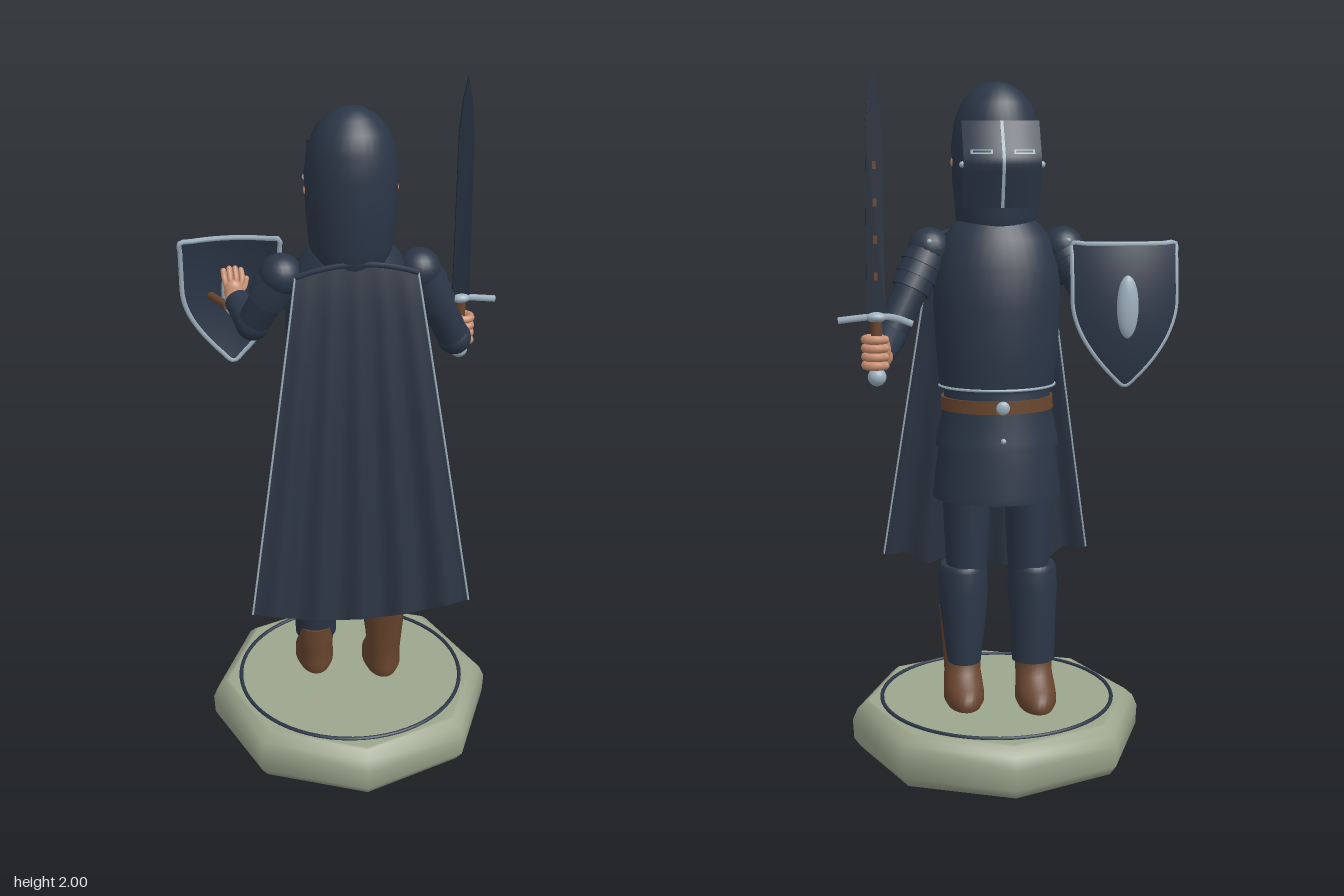
import * as THREE from 'three';

const mat = (name, color, side = THREE.FrontSide) => {
  const m = new THREE.MeshStandardMaterial({ color, side });
  m.name = name;
  return m;
};
const V = (x, y, z) => new THREE.Vector3(x, y, z);

export function createModel() {
  const model = new THREE.Group();
  const navy = mat('navy armour', 0x2b3647);
  const cloth = mat('navy cloth', 0x2b3442, THREE.DoubleSide);
  const dark = mat('dark steel', 0x222c3a);
  const brown = mat('brown leather', 0x68452e);
  const silver = mat('pale steel', 0x9db0be);
  const skin = mat('skin', 0xc78f70);
  const stone = mat('stone', 0x9ca58d);

  const add = (name, geo, m, pos, parent = model) => {
    const mesh = new THREE.Mesh(geo, m);
    mesh.name = name;
    if (pos) mesh.position.copy(pos);
    parent.add(mesh);
    return mesh;
  };

  // Elliptical rings [y, rx, rz, cz] joined upward, closed at both ends; 'cx' shifts in x.
  const loft = (name, rings, m, cx = 0, dz = 0, n = 32) => {
    const first = rings[0], last = rings[rings.length - 1];
    const all = [[first[0], 0, 0, first[3]], first, ...rings, last, [last[0], 0, 0, last[3]]];
    const p = [], idx = [];
    all.forEach(([y, rx, rz, cz = 0], j) => {
      for (let i = 0; i < n; i++) {
        const a = i / n * Math.PI * 2;
        p.push(cx + Math.sin(a) * rx, y, dz + cz + Math.cos(a) * rz);
        if (j === all.length - 1) continue;
        const a0 = j * n + i, b0 = j * n + (i + 1) % n;
        idx.push(a0, b0, b0 + n, a0, b0 + n, a0 + n);
      }
    });
    const g = new THREE.BufferGeometry();
    g.setAttribute('position', new THREE.Float32BufferAttribute(p, 3));
    g.setIndex(idx);
    g.computeVertexNormals();
    return add(name, g, m);
  };
  const ball = (name, c, r, m, sx = 1, sy = 1, sz = 1) => {
    const b = add(name, new THREE.SphereGeometry(r, 20, 14), m, c);
    b.scale.set(sx, sy, sz);
    return b;
  };
  const rod = (name, a, b, ra, rb, m) => {
    const d = b.clone().sub(a);
    const c = add(name, new THREE.CylinderGeometry(rb, ra, d.length(), 20), m, a.clone().lerp(b, 0.5));
    c.quaternion.setFromUnitVectors(V(0, 1, 0), d.normalize());
    return c;
  };
  const finger = (name, pts, r) => {
    add(name, new THREE.TubeGeometry(new THREE.CatmullRomCurve3(pts), 10, r, 8), skin);
    ball(name + 'Tip', pts[pts.length - 1], r, skin);
  };
  const tube = (name, pts, r, m, closed = false) =>
    add(name, new THREE.TubeGeometry(new THREE.CatmullRomCurve3(pts, closed), pts.length * 3, r, 6, closed), m);
  // Moves each vertex of a geometry by a rule.
  const bend = (g, rule) => {
    const p = g.attributes.position;
    for (let i = 0; i < p.count; i++) {
      const v = rule(p.getX(i), p.getY(i), p.getZ(i));
      p.setXYZ(i, v.x, v.y, v.z);
    }
    g.computeVertexNormals();
    return g;
  };

  // Eight-sided base with an inlaid ring
  const profile = [[0, 0], [0.415, 0], [0.437, 0.03], [0.44, 0.09], [0.425, 0.125], [0.4, 0.147], [0.39, 0.15], [0, 0.15]];
  add('base', new THREE.LatheGeometry(profile.map(q => new THREE.Vector2(...q)), 8), stone);
  add('baseRing', new THREE.TorusGeometry(0.35, 0.006, 8, 64), navy, V(0, 0.152, 0)).rotation.x = Math.PI / 2;

  // Legs; the right one steps slightly forward
  for (const s of [1, -1]) {
    const side = s > 0 ? 'left' : 'right', dz = s > 0 ? 0 : -0.045, top = s > 0 ? 0.43 : 0.32;
    loft(side + 'Boot', [[0.15, 0.052, 0.097, -0.048], [0.165, 0.06, 0.103, -0.048], [0.19, 0.06, 0.1, -0.045],
      [0.21, 0.058, 0.088, -0.035], [0.24, 0.055, 0.065, -0.008], [0.28, 0.056, 0.055, 0.005],
      [top, s > 0 ? 0.066 : 0.056, 0.063, s > 0 ? 0.022 : 0]], brown, s * 0.106, dz);
    loft(side + 'Greave', [[0.28, s > 0 ? 0.05 : 0.064, 0.058, -0.04], [0.43, 0.069, 0.07, -0.03], [0.5, 0.075, 0.085, -0.014],
      [0.56, 0.073, 0.086, -0.012], [0.575, 0.065, 0.075, -0.012]], navy, s * 0.104, dz * 0.3);
    loft(side + 'Thigh', [[0.55, 0.06, 0.068, -0.015], [0.68, 0.067, 0.076, -0.012], [0.84, 0.072, 0.085, -0.008]], navy, s * 0.092, dz * 0.3);
  }

  // Skirt, waist, belt and breastplate
  loft('skirt', [[0.78, 0.19, 0.16], [0.8, 0.19, 0.16], [0.9, 0.178, 0.145, -0.005], [0.95, 0.17, 0.137, -0.006]], navy);
  loft('waistPlate', [[0.935, 0.182, 0.148, -0.008], [0.96, 0.18, 0.145, -0.008], [1.06, 0.158, 0.127, -0.008], [1.12, 0.155, 0.125, -0.008]], navy);
  loft('belt', [[1.045, 0.166, 0.134, -0.008], [1.083, 0.165, 0.133, -0.008]], brown);
  ball('buckle', V(0, 1.064, -0.143), 0.02, silver, 1, 1, 0.5);
  ball('skirtRivet', V(0, 0.97, -0.153), 0.008, silver);
  loft('breastplate', [[1.105, 0.168, 0.138, -0.006], [1.2, 0.177, 0.146, -0.008], [1.35, 0.186, 0.145, -0.01], [1.46, 0.182, 0.13, -0.01],
    [1.54, 0.155, 0.108, -0.008], [1.58, 0.125, 0.092, 0], [1.6, 0.1, 0.08, 0.005]], navy);
  const hem = [];
  for (let i = 0; i <= 16; i++) {
    const a = Math.PI * (i / 16 - 0.5);
    hem.push(V(Math.sin(a) * 0.17, 1.115, -0.006 - Math.cos(a) * 0.141));
  }
  tube('breastplateEdge', hem, 0.004, silver);

  // Hood helmet, ears and brow
  loft('helmet', [[1.52, 0.085, 0.085, 0.012], [1.55, 0.105, 0.1, 0.012], [1.6, 0.117, 0.11, 0.012], [1.7, 0.126, 0.119, 0.012],
    [1.8, 0.129, 0.121, 0.012], [1.87, 0.12, 0.113, 0.012], [1.92, 0.1, 0.094, 0.012], [1.955, 0.07, 0.066, 0.012],
    [1.975, 0.035, 0.033, 0.012], [1.98, 0.004, 0.004, 0.012]], navy);
  for (const s of [1, -1]) ball('ear', V(s * 0.122, 1.755, 0.01), 0.014, skin, 0.7, 1, 1);
  ball('brow', V(0, 1.835, -0.085), 0.04, skin, 1.1, 0.5, 0.6);

  // Visor, its ridge and eye slits all follow the same curved surface
  const visorZ = (x, y) => {
    const z = y > 1.76 ? -0.162 + 0.058 * ((y - 1.76) / 0.11) : -0.162 + 0.036 * ((1.76 - y) / 0.13);
    return z + 0.026 * (x / 0.11) ** 2;
  };
  const visorPart = (name, w, h, cx, cy, d, m) => {
    const g = new THREE.BoxGeometry(w, h, d, 10, 12, 1);
    add(name, bend(g, (x, y, z) => V(x + cx, y + cy, z + visorZ(x + cx, y + cy))), m);
  };
  visorPart('visor', 0.22, 0.24, 0, 1.75, 0.01, navy);
  visorPart('visorRidge', 0.009, 0.24, 0, 1.75, 0.018, silver);
  for (const s of [1, -1]) {
    visorPart('eyeSlit', 0.06, 0.012, s * 0.06, 1.785, 0.014, silver);
    visorPart('eyeGap', 0.048, 0.006, s * 0.06, 1.785, 0.017, dark);
    ball('visorRivet', V(s * 0.112, 1.75, -0.128), 0.009, silver);
  }

  // Arms: layered shoulder plates, upper arm, elbow, forearm
  const arm = (side, shoulder, elbow, wrist) => {
    rod(side + 'UpperArm', shoulder, elbow, 0.05, 0.047, navy);
    ball(side + 'Shoulder', shoulder, 0.062, navy);
    for (let i = 0; i < 3; i++) {
      const a = shoulder.clone().lerp(elbow, 0.02 + i * 0.14), b = shoulder.clone().lerp(elbow, 0.2 + i * 0.14);
      rod(side + 'ShoulderPlate', a, b, 0.058 - i * 0.002, 0.064 - i * 0.003, navy);
    }
    ball(side + 'Elbow', elbow, 0.05, navy);
    rod(side + 'Forearm', elbow, wrist, 0.048, 0.036, navy);
    ball(side + 'Wrist', wrist, 0.034, skin);
  };
  arm('left', V(0.195, 1.51, 0), V(0.315, 1.27, -0.06), V(0.345, 1.225, -0.155));
  arm('right', V(-0.195, 1.51, 0), V(-0.275, 1.345, -0.06), V(-0.315, 1.385, -0.15));
  for (const s of [1, -1]) ball('shoulderRivet', V(s * 0.2, 1.535, -0.062), 0.007, silver);

  // Left fist around the grip
  ball('leftPalm', V(0.352, 1.245, -0.185), 0.036, skin, 0.9, 1.25, 0.9);
  for (let i = 0; i < 4; i++) {
    const y = 1.205 + i * 0.024;
    finger('leftFinger', [V(0.355, y, -0.17), V(0.388, y, -0.182), V(0.388, y, -0.215), V(0.358, y, -0.226), V(0.338, y, -0.212)], 0.012);
  }

  // Right open hand
  ball('rightPalm', V(-0.32, 1.4, -0.178), 0.032, skin, 0.9, 1.1, 0.6);
  for (let i = 0; i < 4; i++) {
    const x = -0.345 + i * 0.017;
    finger('rightFinger', [V(-0.32 + (i - 1.5) * 0.012, 1.405, -0.18), V(x, 1.435, -0.192), V(x - 0.002, 1.462 - 0.006 * Math.abs(i - 1.5), -0.21)], 0.0085);
  }
  finger('rightThumb', [V(-0.32, 1.39, -0.178), V(-0.292, 1.405, -0.185), V(-0.282, 1.43, -0.2)], 0.009);

  // Sword
  const sx = 0.36, sz = -0.2;
  const blade = new THREE.Shape([[-0.026, 1.34], [0.026, 1.34], [0.022, 1.84], [0.013, 1.94], [0, 2], [-0.013, 1.94], [-0.022, 1.84]]
    .map(q => new THREE.Vector2(...q)));
  add('blade', new THREE.ExtrudeGeometry(blade, { depth: 0.01, bevelEnabled: false }), dark, V(sx, 0, sz - 0.005));
  for (let i = 0; i < 4; i++) add('bladeInlay', new THREE.BoxGeometry(0.01, 0.022, 0.003), brown, V(sx, 1.45 + i * 0.1, sz - 0.006));
  tube('guard', [V(0.26, 1.318, sz), V(0.31, 1.336, sz), V(sx, 1.34, sz), V(0.41, 1.336, sz), V(0.465, 1.33, sz)], 0.01, silver);
  ball('guardBlock', V(sx, 1.338, sz), 0.022, silver, 1.3, 0.7, 1);
  rod('grip', V(sx, 1.18, sz), V(sx, 1.335, sz), 0.014, 0.016, brown);
  ball('pommel', V(sx, 1.172, sz), 0.026, silver);

  // Curved shield with rim, boss and straps
  const shieldAt = (u, s, d = 0) => {
    const w = 0.145 * (s < 0.62 ? Math.sin(Math.PI / 2 * s / 0.62) ** 0.85 : 1);
    return V(-0.325 + u * w, 1.145 + 0.39 * s, -0.287 + d + 0.034 * (u * w / 0.145) ** 2 + 0.024 * (2 * s - 1) ** 2);
  };
  add('shield', bend(new THREE.BoxGeometry(2, 1, 0.012, 12, 20, 1), (x, y, z) => shieldAt(x, y + 0.5, z)), navy);
  const rim = [];
  for (let i = 0; i < 14; i++) rim.push(shieldAt(-1, 1 - i / 14));
  for (let i = 0; i < 14; i++) rim.push(shieldAt(1, i / 14));
  for (let i = 0; i < 8; i++) rim.push(shieldAt(1 - i / 4, 1));
  tube('shieldRim', rim, 0.008, silver, true);
  ball('shieldBoss', V(-0.325, 1.365, -0.287), 0.035, silver, 0.9, 2.5, 0.55);
  rod('shieldStrap', V(-0.385, 1.36, -0.255), V(-0.342, 1.365, -0.155), 0.012, 0.012, brown);
  rod('shieldStrap', V(-0.25, 1.36, -0.255), V(-0.285, 1.365, -0.16), 0.012, 0.012, brown);

  // Cape with deepening folds and pale side edges
  const capeAt = (u, t) => V(
    0.004 + u * (0.17 + 0.152 * t),
    1.57 - 0.03 * u * u - (1.07 - 0.08 * u * u) * t + 0.008 * t * Math.cos(u * 16),
    0.108 + 0.122 * t ** 0.8 + 0.013 * t * Math.cos(u * 16) + 0.012 * t * u ** 4);
  add('cape', bend(new THREE.PlaneGeometry(2, 1, 60, 20), (x, y) => capeAt(x, 0.5 - y)), cloth);
  for (const s of [1, -1]) {
    const edge = [];
    for (let i = 0; i <= 12; i++) edge.push(capeAt(s, i / 12));
    tube('capeEdge', edge, 0.003, silver);
  }
  const collar = [];
  for (let i = 0; i <= 8; i++) collar.push(capeAt(i / 4 - 1, 0));
  tube('capeCollar', collar, 0.008, navy);

  return model;
}
